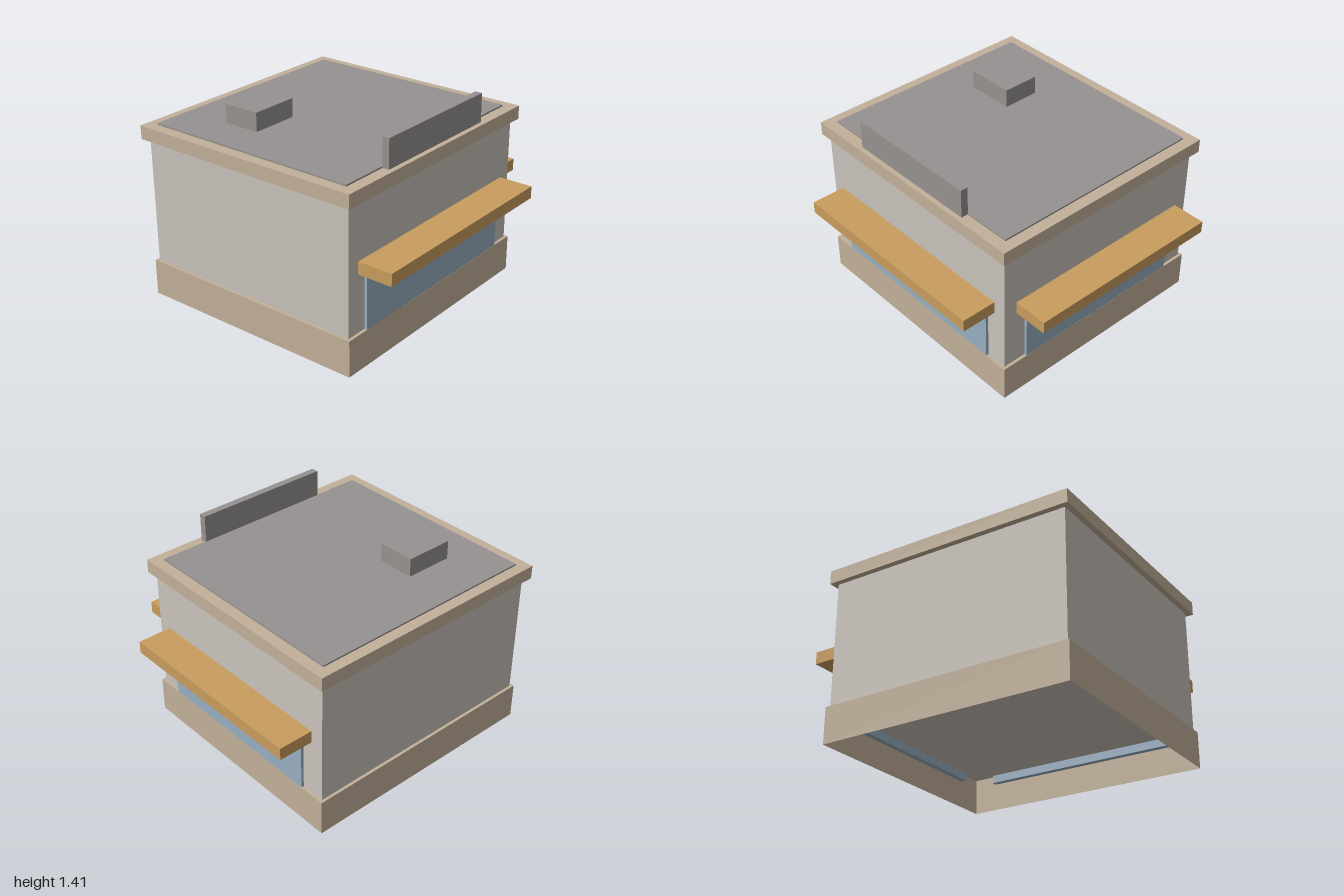
import * as THREE from 'three';

const mat = (name, color, side = THREE.FrontSide) => {
  const m = new THREE.MeshStandardMaterial({ color, side });
  m.name = name;
  return m;
};

export function createModel() {
  const model = new THREE.Group();
  model.name = 'shopBuilding';

  const stone = mat('tanStone', 0xc2b19a, THREE.DoubleSide);
  const wall = mat('paleWall', 0xc9c3bb);
  const timber = mat('awningTimber', 0xc99d5e);
  const glass = mat('blueGlass', 0x98aec1);
  const roofGrey = mat('roofGrey', 0x969290);

  const add = (name, geometry, material) => {
    const mesh = new THREE.Mesh(geometry, material);
    mesh.name = name;
    model.add(mesh);
    return mesh;
  };

  // Box given by its extents on each axis
  const boxGeometry = ([x0, x1], [y0, y1], [z0, z1]) =>
    new THREE.BoxGeometry(x1 - x0, y1 - y0, z1 - z0)
      .translate((x0 + x1) / 2, (y0 + y1) / 2, (z0 + z1) / 2);
  const box = (name, x, y, z, material) => add(name, boxGeometry(x, y, z), material);

  // Plinth: four thin walls, open underneath
  const plinth = boxGeometry([-0.98, 0.78], [0, 0.25], [-0.93, 0.725]);
  const index = Array.from(plinth.index.array);
  plinth.setIndex([...index.slice(0, 12), ...index.slice(24)]);
  plinth.clearGroups();
  add('plinth', plinth, stone);

  // Narrow ledge between the plinth and the walls
  const rectangle = (Type, x0, x1, z0, z1) => new Type([
    new THREE.Vector2(x0, -z1), new THREE.Vector2(x1, -z1),
    new THREE.Vector2(x1, -z0), new THREE.Vector2(x0, -z0),
  ]);
  const ledge = rectangle(THREE.Shape, -0.98, 0.78, -0.93, 0.725);
  ledge.holes.push(rectangle(THREE.Path, -0.96, 0.76, -0.91, 0.705));
  add('plinthLedge', new THREE.ShapeGeometry(ledge).rotateX(-Math.PI / 2).translate(0, 0.25, 0), stone);

  // Walls, cornice and roof
  box('walls', [-0.96, 0.76], [0.245, 1.12], [-0.91, 0.705], wall);
  box('cornice', [-1, 0.8], [1.12, 1.213], [-0.95, 0.742], stone);
  box('roofDeck', [-0.925, 0.722], [1.2, 1.224], [-0.875, 0.662], roofGrey);
  box('roofVent', [-0.647, -0.308], [1.21, 1.352], [-0.535, -0.275], roofGrey);
  box('signBoard', [-0.588, 0.387], [1.21, 1.41], [0.658, 0.708], roofGrey);

  // Shop windows, reaching a little below the plinth ledge
  box('frontWindow', [-0.81, 0.61], [0.19, 0.65], [0.685, 0.724], glass);
  box('leftWindow', [0.74, 0.779], [0.19, 0.65], [-0.742, 0.538], glass);

  // Flat awnings over the windows
  box('frontAwning', [-0.87, 0.67], [0.645, 0.73], [0.7, 0.948], timber);
  box('leftAwning', [0.755, 1], [0.645, 0.73], [-0.815, 0.608], timber);

  return model;
}
